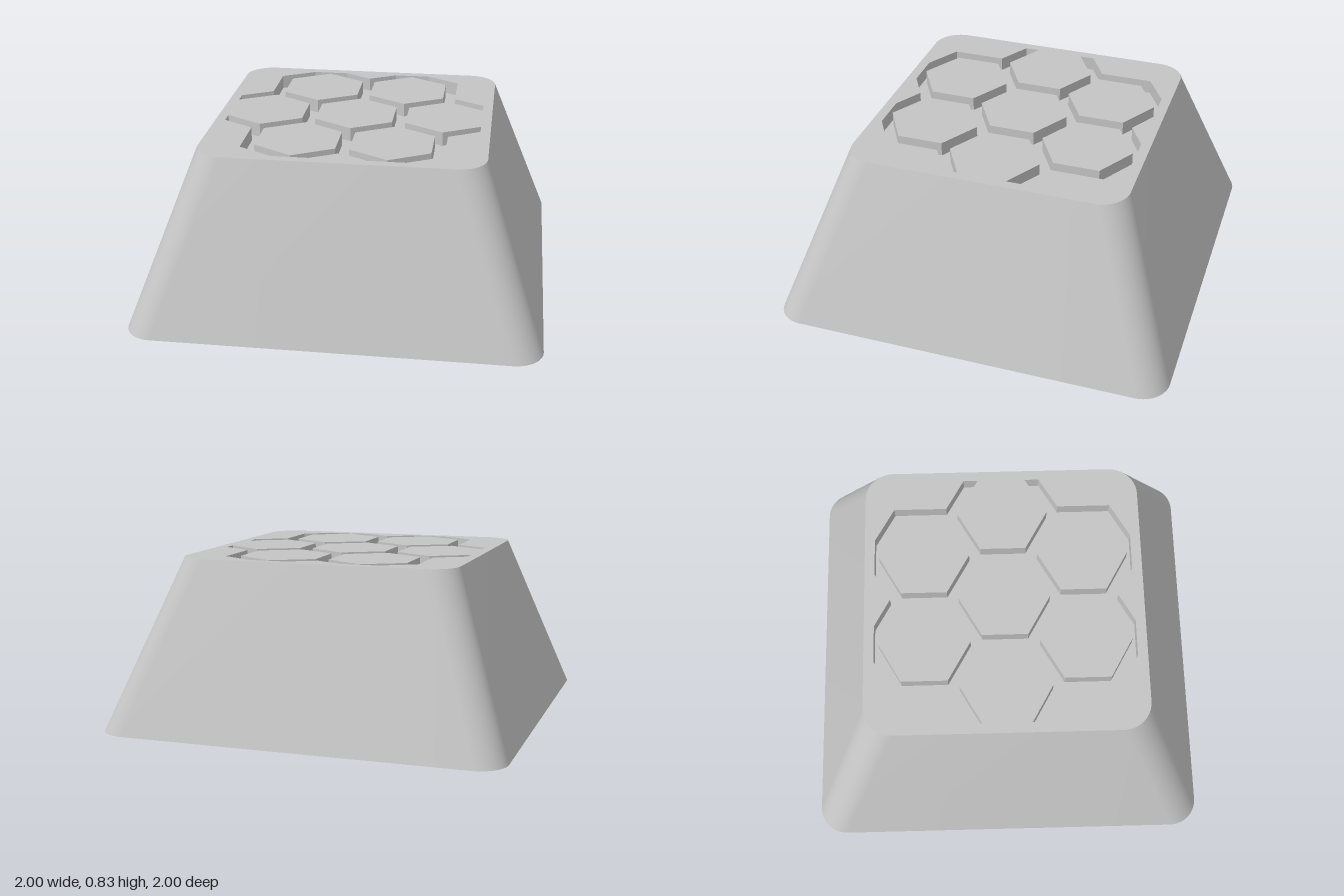
import * as THREE from 'three';
import { toCreasedNormals } from 'three/addons/utils/BufferGeometryUtils.js';

const V = (x, y) => new THREE.Vector2(x, y);

// Outlines are counter-clockwise seen from above; outline y maps to -z.
function roundedSquare(half, r, seg = 10) {
  const pts = [];
  for (let q = 0; q < 4; q++) {
    const mid = Math.PI / 4 + q * Math.PI / 2;
    const cx = Math.sign(Math.cos(mid)) * (half - r);
    const cy = Math.sign(Math.sin(mid)) * (half - r);
    for (let i = 0; i <= seg; i++) {
      const a = (q + i / seg) * Math.PI / 2;
      pts.push(V(cx + r * Math.cos(a), cy + r * Math.sin(a)));
    }
  }
  return pts;
}

function polygon(n, r, cx = 0, cy = 0) {
  return Array.from({ length: n }, (_, i) => {
    const a = Math.PI / 2 + i * 2 * Math.PI / n;
    return V(cx + r * Math.cos(a), cy + r * Math.sin(a));
  });
}

// Mirrors one quadrant, whose last point lies on the y axis, into a closed outline.
function fourWay(quad) {
  const back = quad.slice(0, -1).reverse();
  return [
    ...quad.map(([x, y]) => V(x, y)),
    ...back.map(([x, y]) => V(-x, y)),
    ...quad.map(([x, y]) => V(-x, -y)),
    ...back.map(([x, y]) => V(x, -y)),
  ];
}

// Ribbon between two outlines: faces outward going up, inward going down.
function wall(loopA, yA, loopB, yB) {
  const pos = [];
  const n = loopA.length;
  const put = (p, y) => pos.push(p.x, y, -p.y);
  for (let i = 0; i < n; i++) {
    const j = (i + 1) % n;
    put(loopA[i], yA); put(loopA[j], yA); put(loopB[j], yB);
    put(loopA[i], yA); put(loopB[j], yB); put(loopB[i], yB);
  }
  const g = new THREE.BufferGeometry();
  g.setAttribute('position', new THREE.Float32BufferAttribute(pos, 3));
  return toCreasedNormals(g, 0.5);
}

// Flat horizontal face with optional holes.
function plate(outline, holes, y, up) {
  const shape = new THREE.Shape(outline);
  for (const h of holes) shape.holes.push(new THREE.Path(h));
  const g = new THREE.ShapeGeometry(shape);
  g.rotateX(up ? -Math.PI / 2 : Math.PI / 2);
  return g.translate(0, y, 0);
}

export function createModel() {
  const model = new THREE.Group();
  const grey = new THREE.MeshStandardMaterial({ color: 0xc4c4c4 });
  grey.name = 'light grey plastic';
  const add = (name, geometry) => {
    const m = new THREE.Mesh(geometry, grey);
    m.name = name;
    model.add(m);
  };

  const H = 0.833, ceilingY = 0.69, floorY = H - 0.07, socketY = 0.45;

  // Tapered shell and hollow inside
  const baseOuter = roundedSquare(1, 0.14), topOuter = roundedSquare(0.695, 0.14);
  const baseInner = roundedSquare(0.855, 0.07), topInner = roundedSquare(0.602, 0.07);
  add('outerWall', wall(baseOuter, 0, topOuter, H));
  add('bottomRim', plate(baseOuter, [baseInner], 0, false));
  add('innerWall', wall(topInner, ceilingY, baseInner, 0));

  // Honeycomb groove cut into the top, open cells at both sides
  const groove = fourWay([
    [0.263, 0.114], [0.46, 0.2275], [0.645, 0.121], [0.645, 0.193], [0.49, 0.283],
    [0.49, 0.548], [0.322, 0.645], [0.138, 0.645], [0, 0.567],
  ]);
  const cells = [[0, 0], [0.23, 0.398], [-0.23, 0.398], [0.23, -0.398], [-0.23, -0.398]]
    .map(([x, y]) => polygon(6, 0.2275, x, y));
  add('topFace', plate(topOuter, [groove], H, true));
  add('grooveEdge', wall(groove, H, groove, floorY));
  add('grooveFloor', plate(groove, cells, floorY, true));
  for (const cell of cells) {
    add('hexagonTop', plate(cell, [], H, true));
    add('hexagonSide', wall(cell, floorY, cell, H));
  }

  // Round stem with a cross-shaped socket
  const ring = polygon(48, 0.303);
  const w = 0.07, l = 0.23;
  const cross = fourWay([[l, 0], [l, w], [w, w], [w, l], [0, l]]);
  add('ceiling', plate(topInner, [ring], ceilingY, false));
  add('stemSide', wall(ring, 0, ring, ceilingY));
  add('stemEnd', plate(ring, [cross], 0, false));
  add('socketSide', wall(cross, socketY, cross, 0));
  add('socketEnd', plate(cross, [], socketY, false));

  return model;
}
